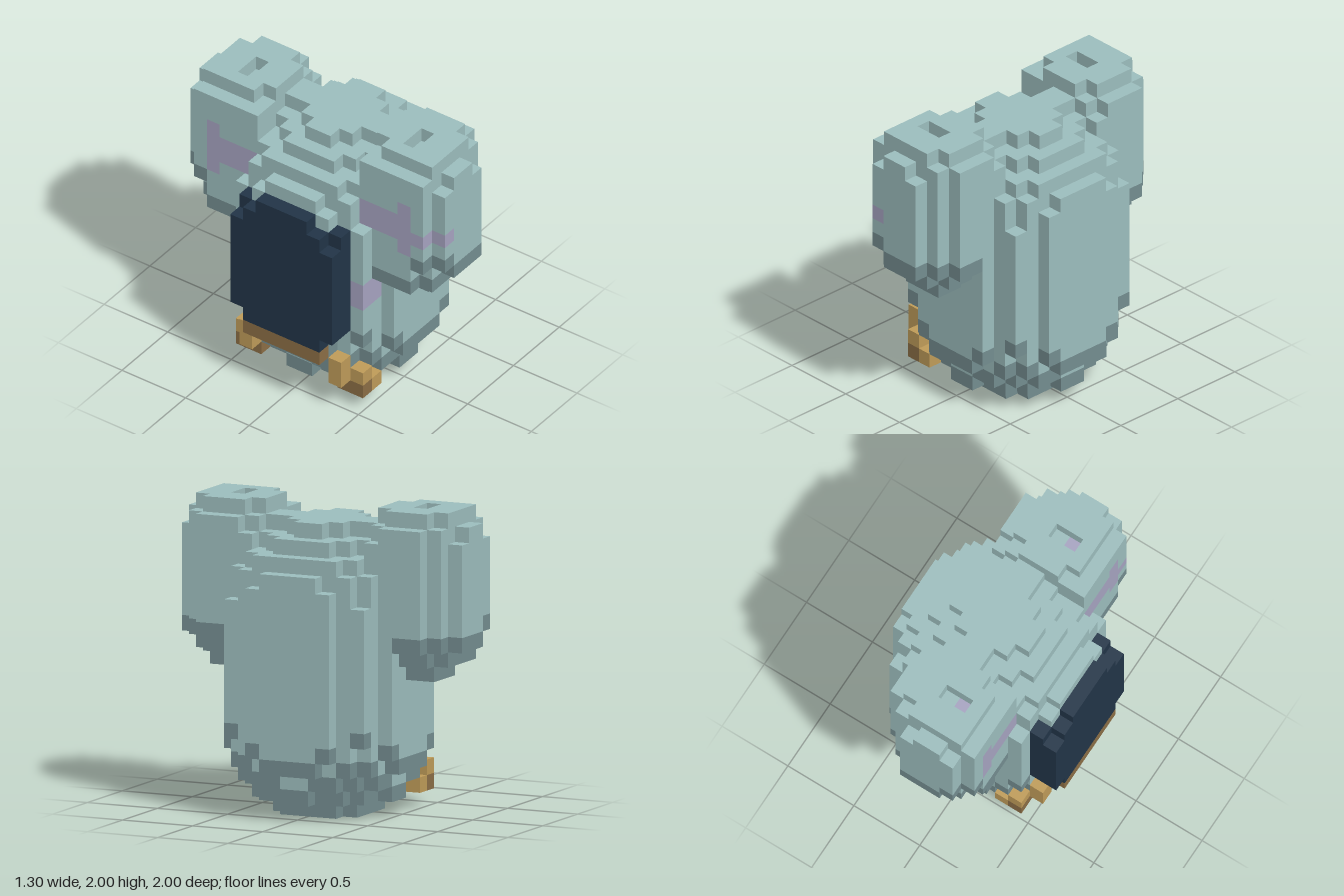
import * as THREE from 'three';
import { mergeGeometries } from 'three/addons/utils/BufferGeometryUtils.js';

const S = 0.1; // edge of one cube

export function createModel() {
  const mat = (name, color) => {
    const m = new THREE.MeshStandardMaterial({ color });
    m.name = name;
    return m;
  };
  const mats = {
    shell: mat('pale teal', 0x9bbcbc),
    shade: mat('dark teal', 0x738c8f),
    navy: mat('navy', 0x213447),
    mauve: mat('mauve', 0xa5a2bf),
    gold: mat('gold', 0xbd9a58),
    bronze: mat('bronze', 0x8a6d45),
  };

  // Cubes on a grid: x centred on i, y from j to j + 1, z from k to k + 1
  const cells = new Map();
  const key = (i, j, k) => `${i},${j},${k}`;
  const put = (part, color, i, j, k) => cells.set(key(i, j, k), { part, color, i, j, k });
  // Ranges are inclusive; each box is mirrored in z
  const box = (part, color, [i0, i1], [j0, j1], [k0, k1]) => {
    for (let i = i0; i <= i1; i++)
      for (let j = j0; j <= j1; j++)
        for (let k = k0; k <= k1; k++) {
          put(part, color, i, j, k);
          put(part, color, i, j, -1 - k);
        }
  };

  // Rounded body: half-widths of the rows from the middle outwards, for a span of layers
  const bodyLayers = [
    [0, 0, [3, 3, 2]],
    [1, 1, [5, 4, 4, 3, 1]],
    [2, 2, [5, 5, 5, 4, 3]],
    [3, 3, [6, 6, 5, 5, 4, 2]],
    [4, 4, [6, 6, 6, 5, 4, 3]],
    [5, 13, [6, 6, 6, 5, 5, 3]],
    [14, 14, [6, 6, 6, 5, 4, 3]],
    [15, 15, [6, 6, 5, 5, 4, 2]],
    [16, 16, [5, 5, 5, 4, 3]],
    [17, 17, [4, 4, 3, 2]],
    [18, 18, [3, 2, 1, 1]],
  ];
  for (const [j0, j1, rows] of bodyLayers)
    rows.forEach((h, k) => box('body', 'shell', [1 - h, h], [j0, j1], [k, k]));

  // Side pods: x range, layers, z range
  const podBoxes = [
    [[-1, 1], [9, 9], [5, 7]],
    [[-3, 2], [10, 10], [5, 7]],
    [[-2, 1], [10, 10], [8, 8]],
    [[-3, 3], [11, 11], [4, 7]],
    [[-2, 2], [11, 11], [8, 8]],
    [[-1, 1], [11, 11], [9, 9]],
    [[-3, 3], [12, 17], [4, 7]],
    [[-3, 2], [12, 17], [8, 8]],
    [[-2, 1], [12, 17], [9, 9]],
    [[-3, 3], [18, 18], [5, 7]],
    [[-3, 2], [18, 18], [4, 4]],
    [[-3, 2], [18, 18], [8, 8]],
    [[-1, 0], [18, 18], [9, 9]],
    [[-1, 1], [19, 19], [4, 4]],
    [[-2, 2], [19, 19], [5, 7]],
    [[-2, 1], [19, 19], [8, 8]],
  ];
  for (const [x, y, z] of podBoxes) box('sidePods', 'shell', x, y, z);

  // Recess in the top of each pod
  for (const i of [-1, 0]) for (const k of [6, -7]) cells.delete(key(i, 19, k));

  // The underside of the shell is dark
  for (const c of cells.values())
    if (!cells.has(key(c.i, c.j - 1, c.k))) c.color = 'shade';

  // Mauve markings
  box('podMarkings', 'mauve', [-1, -1], [18, 18], [6, 6]);
  box('podMarkings', 'mauve', [-3, -3], [13, 16], [7, 7]);
  box('podMarkings', 'mauve', [-3, -3], [14, 15], [4, 6]);
  put('podMarkings', 'mauve', -3, 14, 8);
  put('podMarkings', 'mauve', -2, 14, 9);
  for (const i of [-4, -3]) for (const j of [8, 9]) put('bodyMarking', 'mauve', i, j, 4);

  // Dark plate on the -x side, with stepped corners
  box('plate', 'navy', [-6, -6], [5, 14], [0, 1]);
  box('plate', 'navy', [-6, -6], [5, 13], [2, 2]);
  box('plate', 'navy', [-6, -6], [6, 12], [3, 3]);
  box('plate', 'navy', [-5, -5], [6, 13], [3, 3]);

  // Gold trim under the plate, stepping down to the feet
  box('trim', 'bronze', [-6, -6], [4, 4], [0, 2]);
  box('trim', 'gold', [-5, -5], [2, 3], [3, 3]);
  box('trim', 'gold', [-4, -4], [2, 2], [3, 4]);
  box('trim', 'bronze', [-4, -4], [1, 1], [3, 4]);
  box('trim', 'gold', [-3, -3], [1, 1], [4, 4]);

  // Outward faces only: neighbour offset and turn of a square facing +z
  const sides = [
    [[0, 0, 1], [0, 0]],
    [[0, 0, -1], [0, Math.PI]],
    [[1, 0, 0], [0, Math.PI / 2]],
    [[-1, 0, 0], [0, -Math.PI / 2]],
    [[0, 1, 0], [-Math.PI / 2, 0]],
    [[0, -1, 0], [Math.PI / 2, 0]],
  ].map(([d, [rx, ry]]) => ({
    d,
    face: new THREE.PlaneGeometry(S, S).translate(0, 0, S / 2).rotateX(rx).rotateY(ry),
  }));

  const batches = new Map();
  for (const { part, color, i, j, k } of cells.values()) {
    for (const { d, face } of sides) {
      if (cells.has(key(i + d[0], j + d[1], k + d[2]))) continue;
      const id = `${part}|${color}`;
      if (!batches.has(id)) batches.set(id, []);
      batches.get(id).push(face.clone().translate(i * S, (j + 0.5) * S, (k + 0.5) * S));
    }
  }

  // One group per part, one mesh per colour
  const model = new THREE.Group();
  model.name = 'model';
  for (const [id, faces] of batches) {
    const [part, color] = id.split('|');
    let group = model.getObjectByName(part);
    if (!group) {
      group = new THREE.Group();
      group.name = part;
      model.add(group);
    }
    const mesh = new THREE.Mesh(mergeGeometries(faces), mats[color]);
    mesh.name = `${part} ${mats[color].name}`;
    group.add(mesh);
  }
  return model;
}
